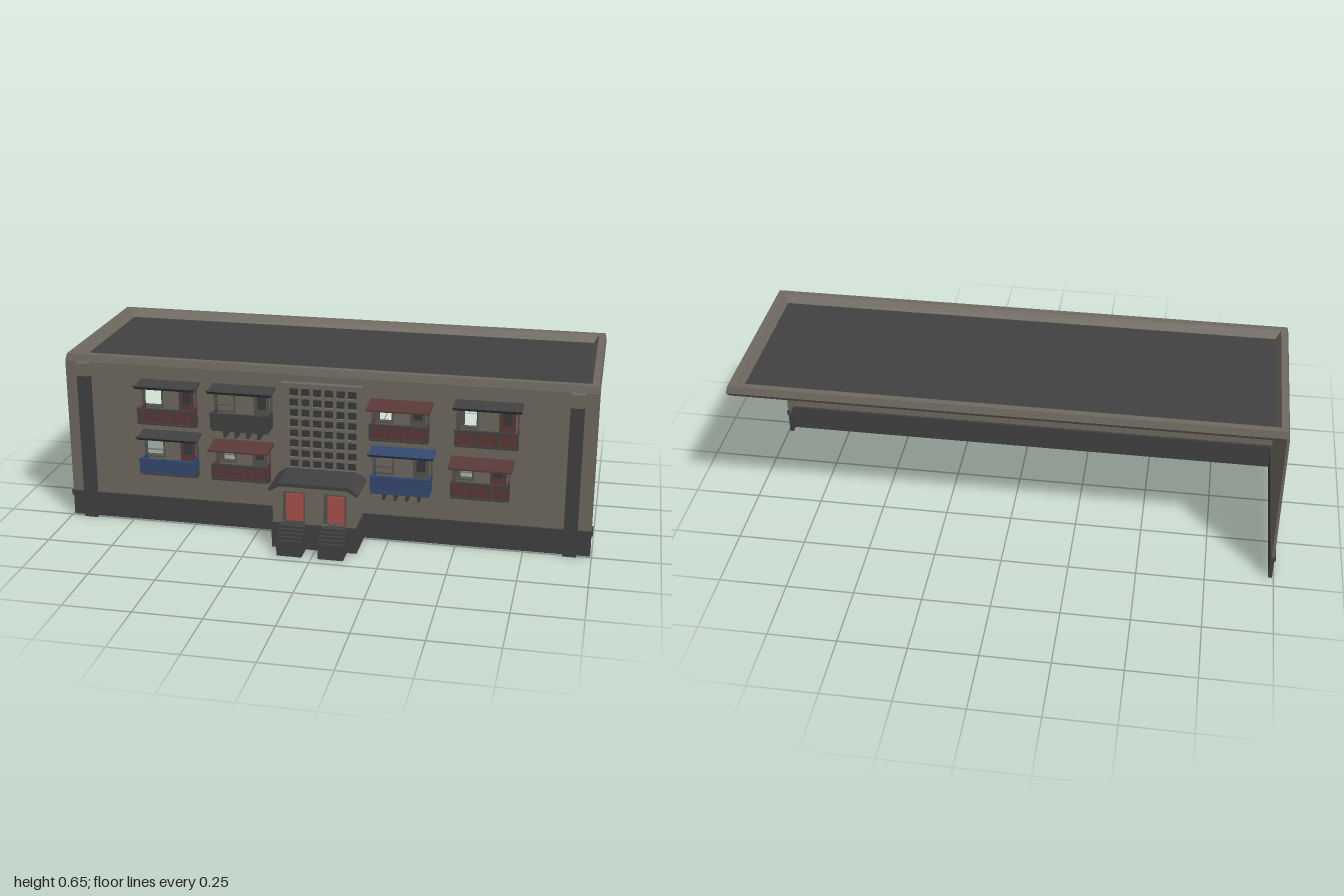
import * as THREE from 'three';

const mat = (name, color) => {
  const m = new THREE.MeshStandardMaterial({ color, side: THREE.DoubleSide });
  m.name = name;
  return m;
};

export function createModel() {
  const wall = mat('wall plaster', 0x6f6a60);
  const dark = mat('dark grey', 0x414141);
  const glass = mat('dark glass', 0x383a3a);
  const red = mat('door red', 0xa8524a);
  const maroon = mat('maroon', 0x5a3a39);
  const blue = mat('blue', 0x34496f);
  const grey = mat('frame grey', 0x55534e);

  const root = new THREE.Group();
  const add = (name, geo, m, parent = root) => {
    const mesh = new THREE.Mesh(geo, m);
    mesh.name = name;
    parent.add(mesh);
    return mesh;
  };
  // box given by its limits on each axis
  const box = (name, x0, x1, y0, y1, z0, z1, m, parent) => {
    const g = new THREE.BoxGeometry(x1 - x0, y1 - y0, z1 - z0);
    g.translate((x0 + x1) / 2, (y0 + y1) / 2, (z0 + z1) / 2);
    return add(name, g, m, parent);
  };
  const shapeOf = pts => new THREE.Shape(pts.map(p => new THREE.Vector2(p[0], p[1])));
  const rect = (x0, x1, y0, y1) => [[x0, y0], [x1, y0], [x1, y1], [x0, y1]];
  // (z, y) profile swept along x
  const sweepX = (name, pts, x0, x1, m, parent) => {
    const g = new THREE.ExtrudeGeometry(shapeOf(pts), { depth: x1 - x0, bevelEnabled: false });
    g.rotateY(-Math.PI / 2).translate(x1, 0, 0);
    return add(name, g, m, parent);
  };
  // wall panel in the xy plane with rectangular holes
  const panel = (name, outline, holes, z0, depth, m, parent) => {
    const s = shapeOf(outline);
    holes.forEach(h => s.holes.push(shapeOf(rect(...h))));
    const g = new THREE.ExtrudeGeometry(s, { depth, bevelEnabled: false });
    return add(name, g.translate(0, 0, z0), m, parent);
  };

  // one entry per balcony: x limits, row height, colours and style
  const bays = [
    { x0: -0.70, x1: -0.47, y: 0.4, rail: maroon, roof: dark, hook: true },
    { x0: -0.70, x1: -0.47, y: 0.2, rail: blue, roof: dark, hook: true },
    { x0: -0.42, x1: -0.18, y: 0.4, rail: dark, roof: dark, hook: true, feet: true },
    { x0: -0.42, x1: -0.19, y: 0.2, rail: maroon, roof: maroon },
    { x0: 0.175, x1: 0.405, y: 0.4, rail: maroon, roof: maroon },
    { x0: 0.18, x1: 0.42, y: 0.2, rail: blue, roof: blue, hook: true, feet: true },
    { x0: 0.485, x1: 0.73, y: 0.4, rail: maroon, roof: dark, hook: true },
    { x0: 0.475, x1: 0.705, y: 0.2, rail: maroon, roof: maroon },
  ];
  for (const b of bays) {
    b.win = [b.x0 + 0.005, b.x0 + 0.085, b.y + 0.065, b.y + 0.15];
    b.door = [b.x1 - 0.085, b.x1 - 0.025, b.y + 0.03, b.y + 0.15];
  }

  // front wall, side wall and the short return at the open end
  panel('frontWall', rect(-0.99, 0.99, 0.09, 0.625),
    bays.flatMap(b => [b.win, b.door]).concat([[-0.133, 0.13, 0.26, 0.58]]), 0.23, 0.01, wall);
  box('sideWall', -0.995, -0.985, 0.09, 0.625, -0.455, 0.24, wall);
  box('wallReturn', 0.985, 0.995, 0.09, 0.625, 0.19, 0.24, wall);

  // plinth and its cap
  for (const [y0, y1, e] of [[0, 0.08, 0], [0.08, 0.1, 0.005]]) {
    box('plinthFront', -0.995 - e, 0.995 + e, y0, y1, 0.22, 0.241 + e, dark);
    box('plinthSide', -0.995 - e, -0.98, y0, y1, -0.455 - e, 0.22, dark);
    box('plinthReturn', 0.98, 0.995 + e, y0, y1, 0.19, 0.22, dark);
  }

  // corner pilasters
  for (const s of [-1, 1]) {
    const x = s * 0.92;
    box('pilaster', x - 0.025, x + 0.025, 0, 0.575, 0.24, 0.26, dark);
    box('pilasterRib', x - 0.011, x + 0.011, 0.1, 0.575, 0.26, 0.266, dark);
    box('pilasterHead', x - 0.025, x + 0.025, 0.575, 0.625, 0.24, 0.265, wall);
  }

  // roof deck and bevelled parapet ring
  box('roofDeck', -0.985, 0.985, 0.612, 0.622, -0.445, 0.23, dark);
  const section = [[0.01, 0.61], [0, 0.625], [0.006, 0.652], [0.03, 0.652], [0.05, 0.62]];
  const corner = ([i, y], k) => [
    (k === 1 || k === 2 ? 1 : -1) * (0.995 - i), y, k < 2 ? 0.24 - i : -0.455 + i];
  const pos = [];
  for (let j = 0; j < section.length - 1; j++) {
    for (let k = 0; k < 4; k++) {
      const n = (k + 1) % 4;
      const a = corner(section[j], k), b = corner(section[j], n);
      const c = corner(section[j + 1], n), d = corner(section[j + 1], k);
      pos.push(...a, ...b, ...c, ...a, ...c, ...d);
    }
  }
  const ring = new THREE.BufferGeometry();
  ring.setAttribute('position', new THREE.Float32BufferAttribute(pos, 3));
  ring.computeVertexNormals();
  add('parapet', ring, wall);

  // stair window: glass, lattice bars and cap
  const lattice = new THREE.Group();
  lattice.name = 'stairWindow';
  root.add(lattice);
  box('latticeGlass', -0.133, 0.13, 0.26, 0.58, 0.231, 0.236, glass, lattice);
  for (let i = 0; i <= 6; i++) {
    const x = -0.133 + i * 0.0438;
    box('verticalBar', x - 0.005, x + 0.005, 0.24, 0.58, 0.224, 0.247, wall, lattice);
  }
  for (let i = 0; i <= 8; i++) {
    const y = 0.26 + i * 0.04;
    box('horizontalBar', -0.138, 0.135, y - 0.005, y + 0.005, 0.224, 0.246, wall, lattice);
  }
  box('windowCap', -0.152, 0.147, 0.582, 0.6, 0.24, 0.265, wall, lattice);

  // balconies with window, door and canopy
  bays.forEach(b => {
    const g = new THREE.Group();
    g.name = 'balcony';
    root.add(g);
    const { x0, x1, y } = b, r0 = x0 + 0.012, r1 = x1 - 0.012;
    const [w0, w1, v0, v1] = b.win, [d0, d1, e0, e1] = b.door;
    // window frame, with slats where it is shuttered
    box('windowPost', w0, w0 + 0.006, v0, v1, 0.225, 0.244, grey, g);
    box('windowPost', w1 - 0.006, w1, v0, v1, 0.225, 0.244, grey, g);
    box('windowSill', w0, w1, v0, v0 + 0.006, 0.225, 0.248, grey, g);
    if (b.feet) {
      box('shutter', w0, w1, v0, v1, 0.232, 0.237, wall, g);
      for (let i = 1; i < 4; i++)
        box('slat', w0, w1, v0 + i * 0.021, v0 + i * 0.021 + 0.006, 0.224, 0.237, grey, g);
    } else if (x0 > -0.6) {
      box('casement', w0, w0 + 0.03, v0, v1, 0.232, 0.237, grey, g);
    }
    // balcony door
    box('balconyDoor', d0, d1, e0, e1, 0.231, 0.236, Math.abs(x0) > 0.45 ? maroon : grey, g);
    box('doorGlass', d0 + 0.014, d1 - 0.014, e0 + 0.05, e1 - 0.015, 0.229, 0.238, glass, g);
    // parapet of the balcony
    const p0 = y + 0.027, p1 = y + 0.08;
    box('balconyFront', r0, r1, p0, p1, 0.31, 0.317, b.rail, g);
    for (const x of [r0, r1 - 0.006])
      box('balconySide', x, x + 0.006, p0, p1, 0.24, 0.31, b.rail, g);
    box('topRail', r0 - 0.004, r1 + 0.004, p1 - 0.004, p1 + 0.003, 0.308, 0.321, b.rail === blue ? blue : dark, g);
    for (const t of [0, 0.333, 0.667, 1]) {
      const x = r0 + t * (r1 - r0);
      box('railPost', x - 0.003, x + 0.003, p0, p1, 0.31, 0.32, b.rail === blue ? blue : dark, g);
    }
    // corner posts up to the canopy
    for (const x of [r0, r1 - 0.006])
      if (x0 > -0.6 || x !== r0)
        box('canopyPost', x, x + 0.006, p1, y + 0.15, 0.24, 0.252, grey, g);
    // floor: slab on brackets or tapering base
    if (b.feet) {
      box('balconyFloor', r0, r1, y + 0.015, p0, 0.24, 0.32, b.rail, g);
      for (const t of [0.2, 0.4, 0.6, 0.8]) {
        const x = r0 + t * (r1 - r0);
        sweepX('bracket', [[0.24, y - 0.02], [0.29, y - 0.02], [0.29, y + 0.015], [0.24, y + 0.015]],
          x - 0.005, x + 0.005, dark, g);
      }
    } else {
      sweepX('balconyBase', [[0.24, y], [0.265, y], [0.325, y + 0.022], [0.325, p0], [0.24, p0]],
        r0, r1, dark, g);
    }
    // canopy
    const profile = b.hook
      ? [[0.24, 0.165], [0.31, 0.154], [0.33, 0.169], [0.328, 0.175], [0.308, 0.163], [0.24, 0.173]]
      : [[0.24, 0.14], [0.335, 0.136], [0.335, 0.142], [0.24, 0.155]];
    sweepX('canopy', profile.map(([z, v]) => [z, y + v]), x0, x1, b.roof, g);
  });

  // entrance porch
  const porch = new THREE.Group();
  porch.name = 'porch';
  root.add(porch);
  box('porchBase', -0.165, 0.155, 0, 0.1, 0.24, 0.39, dark, porch);
  const doors = [-0.083, 0.072];
  panel('porchFront', [[-0.16, 0.1], [0.15, 0.1], [0.15, 0.235], [0.12, 0.255], [-0.13, 0.255], [-0.16, 0.235]],
    doors.map(x => [x - 0.045, x + 0.045, 0.1, 0.225]), 0.37, 0.018, wall, porch);
  for (const x of [-0.16, 0.14])
    box('porchSide', x, x + 0.01, 0.1, 0.235, 0.24, 0.37, wall, porch);
  panel('porchRoof', [[-0.172, 0.232], [-0.165, 0.23], [-0.13, 0.25], [0.12, 0.25], [0.155, 0.23], [0.162, 0.232],
    [0.162, 0.238], [0.125, 0.263], [-0.135, 0.263], [-0.172, 0.238]], [], 0.24, 0.165, dark, porch);
  for (const x of doors) {
    box('doorFrame', x - 0.045, x + 0.045, 0.1, 0.225, 0.352, 0.358, grey, porch);
    box('entranceDoor', x - 0.032, x + 0.032, 0.1, 0.207, 0.358, 0.364, red, porch);
    // steps
    const steps = [[0.385, 0], [0.463, 0], [0.463, 0.06]];
    for (let i = 1; i <= 4; i++) {
      const z = 0.463 - i * 0.0125;
      steps.push([z, 0.05 + i * 0.01], [z, 0.06 + i * 0.01]);
    }
    steps.push([0.385, 0.1]);
    sweepX('steps', steps, x - 0.047, x + 0.047, dark, porch);
  }
  return root;
}
